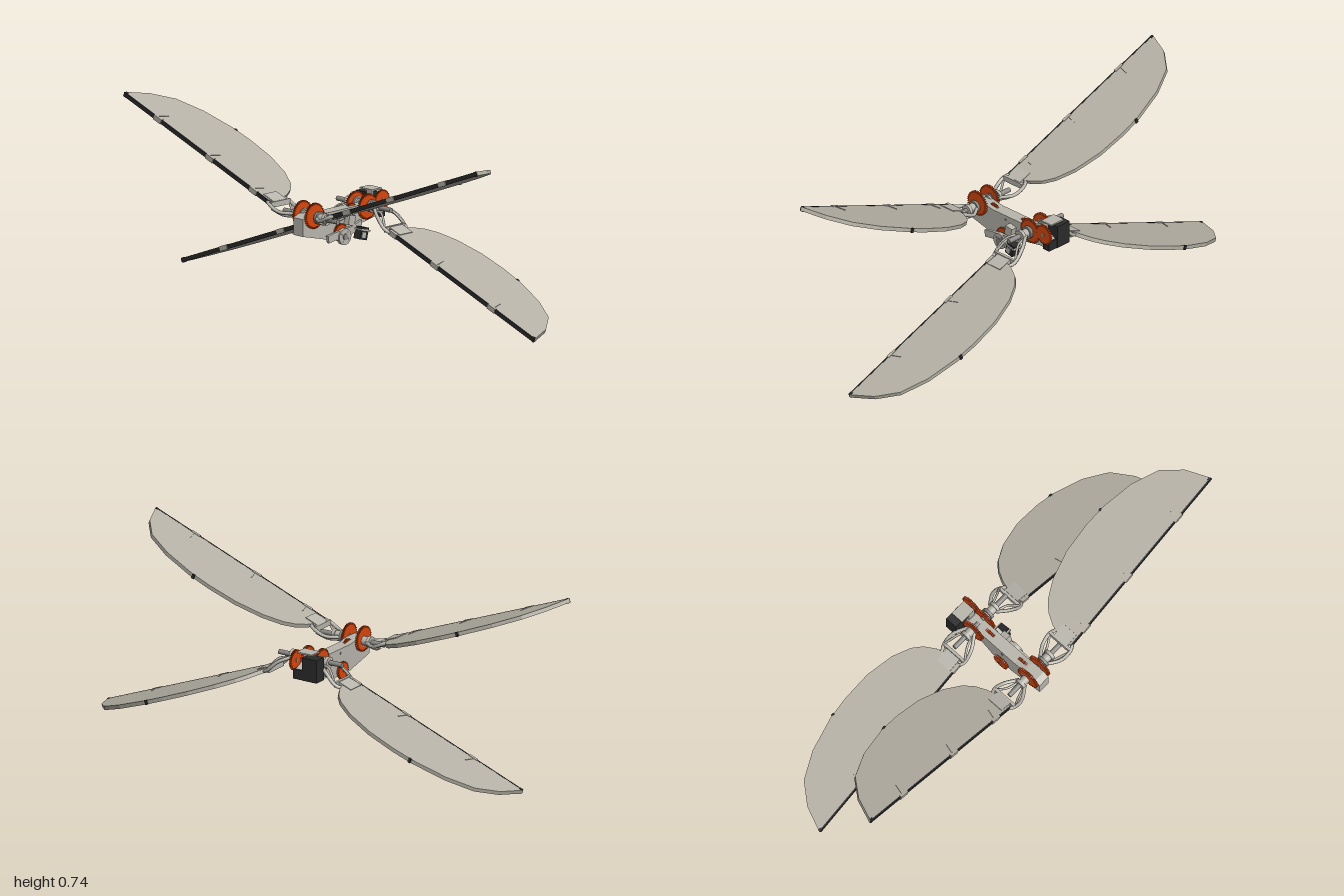
import * as THREE from 'three';

const mat = (name, color, side = THREE.FrontSide) => {
  const m = new THREE.MeshStandardMaterial({ color, side });
  m.name = name;
  return m;
};

export function createModel() {
  const root = new THREE.Group();
  root.name = 'flappingWingMachine';
  const foam = mat('wing foam', 0xb5b1a5);
  const frame = mat('frame grey', 0xb9b6ad);
  const metal = mat('hardware grey', 0x8b8a86);
  const orange = mat('gear orange', 0xd8480e);
  const dark = mat('carbon black', 0x2a2a2b);

  const add = (parent, name, geo, material, x = 0, y = 0, z = 0) => {
    const m = new THREE.Mesh(geo, material);
    m.name = name;
    m.position.set(x, y, z);
    parent.add(m);
    return m;
  };
  const box = (parent, name, material, w, h, d, x, y, z) =>
    add(parent, name, new THREE.BoxGeometry(w, h, d), material, x, y, z);
  // cylinder lying along x
  const rod = (parent, name, material, r, len, x, y, z, r2 = r) =>
    add(parent, name, new THREE.CylinderGeometry(r2, r, len, 20).rotateZ(-Math.PI / 2), material, x, y, z);
  // side profile given as [z, y], extruded from x0 to x1
  const sideExtrude = (shape, x0, x1) =>
    new THREE.ExtrudeGeometry(shape, { depth: x1 - x0, bevelEnabled: false, curveSegments: 10 })
      .rotateY(Math.PI / 2).translate(x0, 0, 0);
  const sideShape = pts => new THREE.Shape(pts.map(([z, y]) => new THREE.Vector2(-z, y)));
  const tube = (parent, name, pts, r, material) =>
    add(parent, name, new THREE.TubeGeometry(
      new THREE.CatmullRomCurve3(pts.map(p => new THREE.Vector3(...p))), 14, r, 7), material);

  // spur gear turning about x
  const gear = (name, r, teeth, x, y, z) => {
    const pts = [];
    for (let i = 0; i < teeth; i++) {
      [[0, 0.87], [0.4, 0.87], [0.55, 1], [0.85, 1]].forEach(([f, k]) => {
        const a = (i + f) / teeth * Math.PI * 2;
        pts.push(new THREE.Vector2(Math.cos(a) * r * k, Math.sin(a) * r * k));
      });
    }
    const shape = new THREE.Shape(pts);
    shape.holes.push(new THREE.Path().absarc(0, 0, r * 0.16, 0, Math.PI * 2, true));
    add(root, name, sideExtrude(shape, -0.005, 0.005), orange, x, y, z);
    rod(root, name + 'Axle', metal, r * 0.17, 0.016, x, y, z);
  };

  // chassis
  add(root, 'chassis', sideExtrude(sideShape([
    [0.285, 0.388], [0.285, 0.318], [0.13, 0.28], [0.03, 0.285], [-0.03, 0.32], [-0.11, 0.335],
    [-0.155, 0.335], [-0.155, 0.37], [-0.1, 0.395], [0.15, 0.393], [0.2, 0.4], [0.26, 0.4],
  ]), -0.038, 0.014), frame);
  rod(root, 'chassisScrew', metal, 0.005, 0.056, -0.012, 0.375, 0.083);

  // gear trains on both flanks
  [0.022, -0.046].forEach(x => {
    gear('frontGear', 0.052, 36, x, 0.396, 0.23);
    gear('rearGear', 0.052, 36, x, 0.386, -0.065);
    gear('crankGear', 0.036, 26, x, 0.305, 0.085);
  });
  gear('frontIdler', 0.032, 22, -0.01, 0.373, 0.17);
  gear('rearIdler', 0.032, 22, -0.01, 0.373, -0.005);
  gear('motorGear', 0.042, 32, 0.024, 0.4, -0.142);

  // drive motor and its bracket
  box(root, 'driveMotor', dark, 0.068, 0.095, 0.052, -0.058, 0.378, -0.142);
  box(root, 'motorBase', dark, 0.05, 0.04, 0.035, -0.005, 0.35, -0.148);
  box(root, 'motorBracket', frame, 0.07, 0.006, 0.055, -0.03, 0.44, -0.135);
  box(root, 'motorPost', frame, 0.03, 0.05, 0.01, -0.01, 0.415, -0.112);

  // servo, crank arm and its disc
  add(root, 'crankArm', sideExtrude(sideShape([
    [0.172, 0.306], [0.168, 0.277], [0.125, 0.284], [0.09, 0.27], [0.05, 0.288],
    [-0.015, 0.322], [-0.015, 0.343], [0.04, 0.326], [0.1, 0.318], [0.135, 0.314],
  ]), 0.03, 0.042), frame);
  rod(root, 'crankDisc', frame, 0.033, 0.016, 0.04, 0.291, 0.083);
  rod(root, 'crankHub', metal, 0.013, 0.022, 0.041, 0.291, 0.083);
  for (let i = 0; i < 4; i++) {
    const a = i * Math.PI / 2 + 0.6;
    rod(root, 'discScrew', metal, 0.005, 0.018, 0.04, 0.291 + Math.sin(a) * 0.022, 0.083 + Math.cos(a) * 0.022);
  }
  box(root, 'armBlock', frame, 0.026, 0.04, 0.035, 0.03, 0.35, 0.04).rotation.x = -0.2;
  const servo = new THREE.Group();
  servo.name = 'servo';
  servo.position.set(0.055, 0.295, 0.002);
  servo.rotation.x = -0.25;
  root.add(servo);
  box(servo, 'servoCase', dark, 0.036, 0.05, 0.04, 0, 0, 0);
  box(servo, 'servoFlange', frame, 0.042, 0.006, 0.055, 0, 0.014, 0);
  box(servo, 'servoLabelPlate', frame, 0.004, 0.022, 0.02, 0.019, -0.006, 0.004);

  // wing outline: [distance from the middle, chord behind the leading edge]
  const outline = [
    [0.178, 0], [0.175, 0.06], [0.19, 0.11], [0.215, 0.155], [0.25, 0.19], [0.32, 0.228],
    [0.43, 0.257], [0.55, 0.264], [0.64, 0.259], [0.775, 0.23], [0.88, 0.18], [0.945, 0.1], [0.985, 0],
  ];
  const tilt = 0.363, cos = Math.cos(tilt), T = 0.016;

  const wing = (label, s, dir, shiftX, y0, lead) => {
    const g = new THREE.Group();
    g.name = label + 'Wing';
    g.position.set(shiftX, y0, lead);
    g.rotation.z = s * dir * tilt;
    root.add(g);

    const shape = new THREE.Shape(outline.map(([x, d]) => new THREE.Vector2(s * x / cos, d)));
    add(g, 'wingPanel', new THREE.ExtrudeGeometry(shape, { depth: T, bevelEnabled: false })
      .rotateX(-Math.PI / 2).translate(0, -T / 2, 0), foam);
    box(g, 'leadingSpar', dark, 0.862, T + 0.001, 0.006, s * 0.622, 0, 0.002);
    box(g, 'tipCap', dark, 0.012, T + 0.004, 0.01, s * 1.045, 0, -0.001);
    box(g, 'trailingClip', dark, 0.012, T + 0.003, 0.008, s * 0.67, 0, -0.2605);
    // clips holding the spar, with thin pins behind them
    (dir > 0 ? [0.28, 0.54, 0.85] : [0.21, 0.46, 0.8]).forEach(u => {
      box(g, 'sparClip', foam, 0.042, T + 0.004, 0.012, s * u, 0, 0.002);
      box(g, 'clipPin', frame, 0.003, 0.003, 0.045, s * u, T / 2 + 0.001, -0.025).rotation.y = s * 0.3;
    });
    // root mount
    box(g, 'rootMount', frame, 0.06, T + 0.006, 0.07, s * 0.205, 0, -0.043);

    // shoulder: forked bracket with a crossbar, around a horizontal hub
    const zc = lead - 0.043;
    const h = x => y0 + dir * x * Math.tan(tilt);
    const X = x => s * x + shiftX;
    const hubY = 0.39;
    const b = new THREE.Group();
    b.name = label + 'Shoulder';
    root.add(b);
    [-1, 1].forEach(k => {
      tube(b, 'forkArm', [
        [X(0.2), h(0.2), zc + k * 0.03], [X(0.165), h(0.165), zc + k * 0.054],
        [X(0.115), (h(0.115) + hubY) / 2, zc + k * 0.05], [X(0.06), hubY, zc + k * 0.016],
      ], 0.0075, frame);
      tube(b, 'forkBrace', [
        [X(0.155), h(0.155) - dir * 0.012, zc + k * 0.052], [X(0.115), hubY - 0.012, zc + k * 0.03],
        [X(0.06), hubY - 0.012, zc + k * 0.012],
      ], 0.005, frame);
    });
    box(b, 'crossbar', frame, 0.012, 0.022, 0.106, X(0.16), h(0.16), zc);
    const hub = (n, m, r, len, x) => rod(b, n, m, r, len, s * x, hubY, zc);
    hub('hubSleeve', frame, 0.018, 0.05, 0.055);
    hub('hubCollar', metal, 0.026, 0.012, 0.045);
    hub('hubCap', frame, 0.023, 0.014, 0.083);
    hub('hubShaft', metal, 0.01, 0.14, 0.08);
  };

  [1, -1].forEach(s => {
    const side = s > 0 ? 'Left' : 'Right';
    wing('front' + side, s, 1, -0.015, 0.354, 0.268);
    wing('rear' + side, s, -1, 0.01, 0.384, -0.027);
  });
  return root;
}
